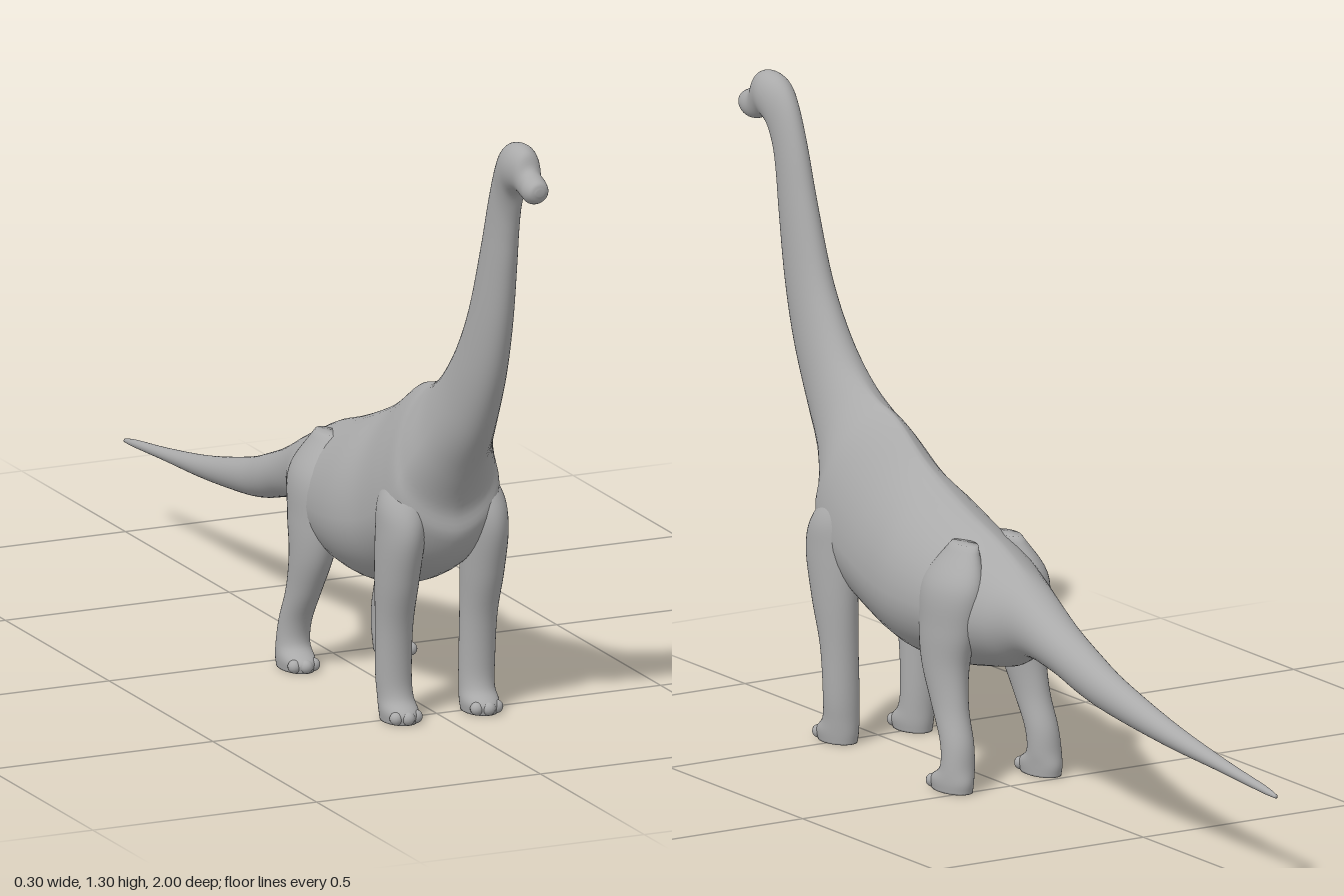
import * as THREE from 'three';

const SIDES = 40;

// Smoothly resample rows of numbers, column by column
function resample(rows, steps) {
  const columns = rows[0].map((_, k) =>
    new THREE.CatmullRomCurve3(rows.map((r) => new THREE.Vector3(r[k], 0, 0)), false, 'catmullrom', 0.5));
  return Array.from({ length: steps + 1 }, (_, i) => columns.map((c) => c.getPoint(i / steps).x));
}

// Skin a closed surface over rings of points, with a centre point at each end
function skin(rings) {
  const pos = [], index = [];
  for (const ring of rings) for (const p of ring) pos.push(p.x, p.y, p.z);
  const id = (i, j) => i * SIDES + (j % SIDES);
  const last = rings.length - 1, start = rings.length * SIDES;
  for (const ring of [rings[0], rings[last]]) {
    const c = new THREE.Vector3();
    ring.forEach((p) => c.addScaledVector(p, 1 / SIDES));
    pos.push(c.x, c.y, c.z);
  }
  for (let j = 0; j < SIDES; j++) {
    for (let i = 0; i < last; i++) {
      const a = id(i, j), b = id(i, j + 1), c = id(i + 1, j), d = id(i + 1, j + 1);
      index.push(a, c, b, b, c, d);
    }
    index.push(start, id(0, j), id(0, j + 1));
    index.push(start + 1, id(last, j + 1), id(last, j));
  }
  const g = new THREE.BufferGeometry();
  g.setAttribute('position', new THREE.Float32BufferAttribute(pos, 3));
  g.setIndex(index);
  g.computeVertexNormals();
  return g;
}

function loop(fn) {
  return Array.from({ length: SIDES }, (_, j) => {
    const a = (j / SIDES) * Math.PI * 2;
    return fn(Math.cos(a), Math.sin(a));
  });
}

// Body sections: back z, back y, underside z, underside y, half width
const headAndNeck = [
  [1.0, 1.229, 0.999, 1.215, 0.009],
  [0.995, 1.242, 0.99, 1.2, 0.021],
  [0.975, 1.252, 0.97, 1.192, 0.027],
  [0.955, 1.264, 0.948, 1.194, 0.026],
  [0.94, 1.292, 0.92, 1.203, 0.031],
  [0.905, 1.303, 0.9, 1.2, 0.037],
  [0.86, 1.292, 0.88, 1.182, 0.036],
  [0.82, 1.25, 0.868, 1.14, 0.031],
  [0.785, 1.17, 0.86, 1.09, 0.031],
  [0.75, 1.06, 0.85, 1.02, 0.034],
  [0.7, 0.92, 0.825, 0.89, 0.04],
  [0.65, 0.83, 0.785, 0.765, 0.047],
  [0.6, 0.765, 0.72, 0.64, 0.057],
];
// The trunk adds: height of the widest point, and pinch towards the spine
const trunk = [
  [0.55, 0.725, 0.645, 0.535, 0.075, 0.42, 1.2],
  [0.5, 0.7, 0.6, 0.455, 0.1, 0.38, 1.5],
  [0.455, 0.687, 0.597, 0.39, 0.117, 0.36, 1.6],
  [0.41, 0.667, 0.54, 0.315, 0.125, 0.36, 1.6],
  [0.33, 0.615, 0.42, 0.258, 0.128, 0.38, 1.5],
  [0.25, 0.577, 0.28, 0.222, 0.14, 0.42, 1.4],
  [0.15, 0.538, 0.15, 0.225, 0.132, 0.44, 1.4],
  [0.05, 0.505, 0.05, 0.24, 0.115, 0.45, 1.4],
  [-0.03, 0.47, -0.03, 0.258, 0.09, 0.47, 1.3],
];
const tail = [
  [-0.1, 0.435, -0.1, 0.29, 0.063],
  [-0.2, 0.385, -0.2, 0.277, 0.049],
  [-0.3, 0.345, -0.3, 0.25, 0.042],
  [-0.4, 0.311, -0.4, 0.232, 0.035],
  [-0.6, 0.262, -0.6, 0.212, 0.025],
  [-0.8, 0.227, -0.8, 0.2, 0.015],
  [-0.95, 0.206, -0.95, 0.19, 0.009],
  [-1.0, 0.196, -1.0, 0.188, 0.004],
];

function bodyGeometry() {
  const full = (r) => [...r, 0.5, 1].slice(0, 7);
  const rows = [...headAndNeck.map(full), ...trunk, ...tail.map(full)];
  return skin(resample(rows, 150).map(([tz, ty, bz, by, w, f, pinch]) => {
    const mz = bz + (tz - bz) * f, my = by + (ty - by) * f;
    return loop((c, s) => {
      const power = s > 0 ? pinch : Math.min(pinch, 1.2);
      const x = w * Math.sign(c) * Math.pow(Math.abs(c), power);
      const k = Math.abs(s), ez = s > 0 ? tz : bz, ey = s > 0 ? ty : by;
      return new THREE.Vector3(x, my + (ey - my) * k, mz + (ez - mz) * k);
    });
  }));
}

// Leg sections: y, x, z, half width, half depth
const frontLeg = [
  [0.54, 0.065, 0.49, 0.02, 0.03],
  [0.47, 0.085, 0.515, 0.045, 0.06],
  [0.4, 0.093, 0.525, 0.046, 0.07],
  [0.3, 0.095, 0.513, 0.043, 0.058],
  [0.2, 0.094, 0.498, 0.038, 0.042],
  [0.1, 0.093, 0.492, 0.037, 0.038],
  [0.05, 0.091, 0.496, 0.036, 0.041],
  [0.022, 0.09, 0.51, 0.038, 0.054],
  [0.0, 0.09, 0.51, 0.035, 0.051],
];
const hindLeg = [
  [0.5, 0.06, 0.09, 0.02, 0.04],
  [0.42, 0.084, 0.095, 0.049, 0.088],
  [0.33, 0.094, 0.1, 0.047, 0.082],
  [0.25, 0.1, 0.1, 0.041, 0.064],
  [0.17, 0.105, 0.075, 0.034, 0.047],
  [0.1, 0.109, 0.043, 0.033, 0.038],
  [0.05, 0.112, 0.037, 0.034, 0.039],
  [0.022, 0.114, 0.053, 0.036, 0.06],
  [0.0, 0.114, 0.053, 0.034, 0.057],
];

function makeLeg(name, rows, side, shift, material) {
  const leg = new THREE.Group();
  leg.name = name;
  const rings = resample(rows, 48).map(([y, x, z, rx, rz]) =>
    loop((c, s) => new THREE.Vector3(side * x + c * rx, y, z - s * rz)));
  const limb = new THREE.Mesh(skin(rings), material);
  limb.name = 'limb';
  leg.add(limb);
  // Three blunt toes along the front of the foot
  const [, fx, fz, rx, rz] = rows[rows.length - 1];
  for (const k of [-1, 0, 1]) {
    const toe = new THREE.Mesh(new THREE.SphereGeometry(0.014, 16, 12), material);
    toe.name = 'toe';
    toe.position.set(side * fx + k * rx * 0.62, 0.014, fz + rz * (k ? 0.72 : 0.92));
    leg.add(toe);
  }
  leg.position.z = shift;
  return leg;
}

export function createModel() {
  const model = new THREE.Group();
  model.name = 'longNeckedDinosaur';
  const hide = new THREE.MeshStandardMaterial({ color: 0xaaaaaa });
  hide.name = 'grey hide';

  const body = new THREE.Mesh(bodyGeometry(), hide);
  body.name = 'body';
  model.add(body);

  for (const [label, side] of [['Left', 1], ['Right', -1]]) {
    model.add(makeLeg('front' + label + 'Leg', frontLeg, side, 0, hide));
    model.add(makeLeg('hind' + label + 'Leg', hindLeg, side, side > 0 ? -0.012 : 0.012, hide));
  }
  return model;
}
